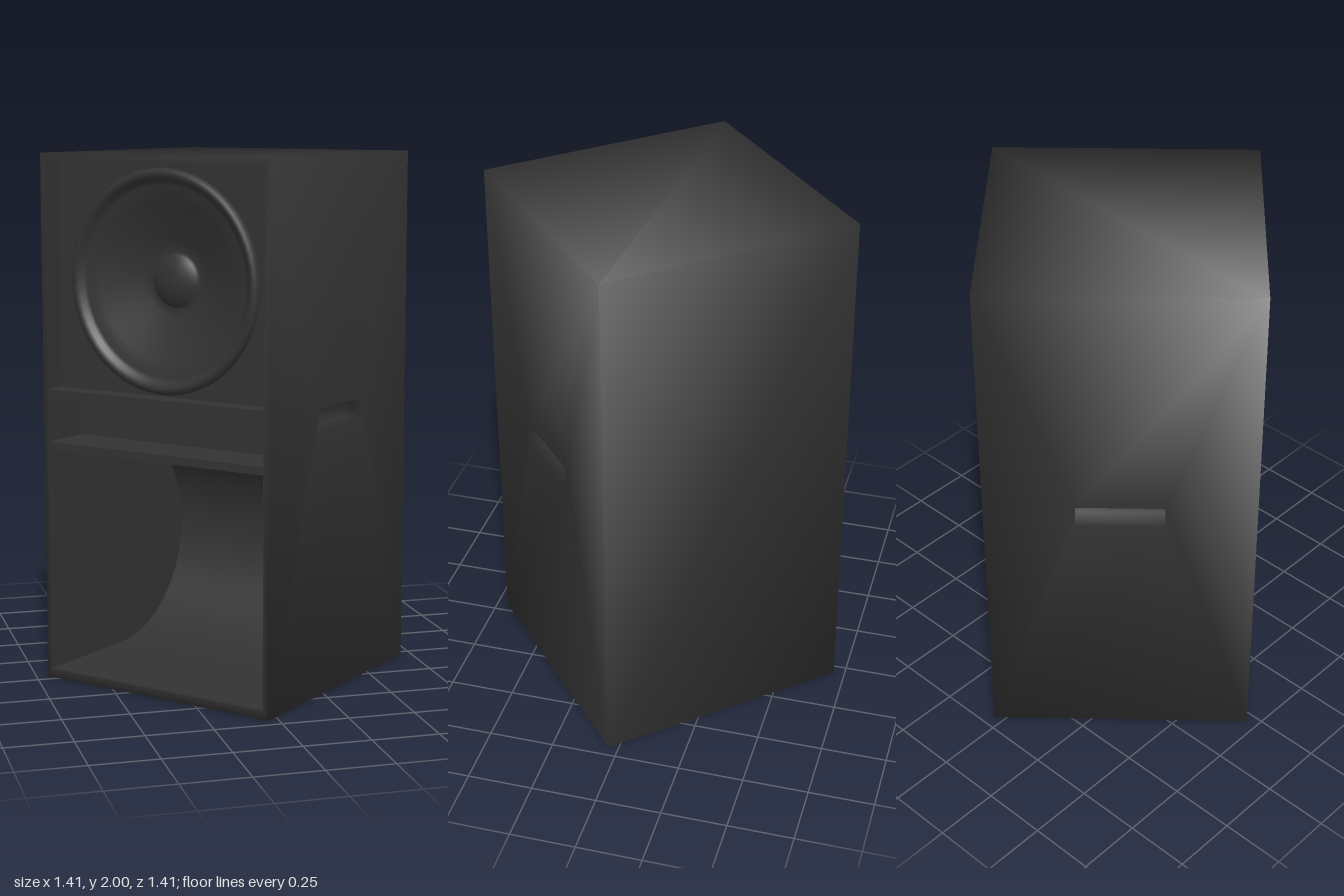
import * as THREE from 'three';
import { mergeGeometries, mergeVertices, toCreasedNormals } from 'three/addons/utils/BufferGeometryUtils.js';

const H = 0.5; // half the cabinet's width and depth

// Rectangle corners, anticlockwise
const rect = (w, y0, y1) => [[-w, y0], [w, y0], [w, y1], [-w, y1]].map(([x, y]) => new THREE.Vector2(x, y));

// Positions only, so that panels can share corners
function bare(geo) {
  const g = geo.index ? geo.toNonIndexed() : geo;
  g.deleteAttribute('normal');
  g.deleteAttribute('uv');
  return g;
}

// Upright 1 x 2 panel with rectangular openings [halfWidth, y0, y1]
function panel(openings) {
  const shape = new THREE.Shape(rect(H, 0, 2));
  for (const o of openings) shape.holes.push(new THREE.Path(rect(...o)));
  return bare(new THREE.ShapeGeometry(shape).translate(0, 0, H));
}

// Turns a solid inside out and removes its ends at the given depths
function hollow(geo, ends = [H]) {
  const p = bare(geo).attributes.position;
  const out = [];
  for (let i = 0; i < p.count; i += 3) {
    if (ends.some(e => [0, 1, 2].every(k => Math.abs(p.getZ(i + k) - e) < 1e-4))) continue;
    for (const k of [0, 2, 1]) out.push(p.getX(i + k), p.getY(i + k), p.getZ(i + k));
  }
  return new THREE.BufferGeometry().setAttribute('position', new THREE.Float32BufferAttribute(out, 3));
}

function boxRecess([w, y0, y1], depth, ends) {
  const box = new THREE.BoxGeometry(2 * w, y1 - y0, depth);
  return hollow(box.translate(0, (y0 + y1) / 2, H - depth / 2), ends);
}

export function createModel() {
  const group = new THREE.Group();
  const cabinet = new THREE.Group();
  cabinet.name = 'speakerCabinet';
  cabinet.rotation.y = -0.84;
  group.add(cabinet);

  const black = new THREE.MeshStandardMaterial({ color: 0x333333 });
  black.name = 'matteBlack';
  const add = (name, geo) => {
    const mesh = new THREE.Mesh(geo, black);
    mesh.name = name;
    cabinet.add(mesh);
    return mesh;
  };

  const upper = [0.475, 1.12, 1.97];
  const slot = [0.475, 0.92, 1.09];
  const lower = [0.475, 0.035, 0.89];
  const handle = [0.165, 1.0, 1.085];

  // Outer shell with softly blended corners and a hand hold on each side
  const parts = [
    panel([upper, slot, lower]),
    panel([]).rotateY(Math.PI),
    bare(new THREE.PlaneGeometry(1, 1).rotateX(-Math.PI / 2).translate(0, 2, 0)),
    bare(new THREE.PlaneGeometry(1, 1).rotateX(Math.PI / 2)),
  ];
  for (const a of [Math.PI / 2, -Math.PI / 2]) {
    parts.push(panel([handle]).rotateY(a), boxRecess(handle, 0.08).rotateY(a));
  }
  const shell = mergeVertices(mergeGeometries(parts));
  shell.computeVertexNormals();
  add('shell', shell);

  // Upper bay walls and baffle
  const baffleZ = 0.42, centreY = 1.54;
  add('upperBay', toCreasedNormals(boxRecess(upper, H - baffleZ, [H, baffleZ]), 0.5));
  const baffle = new THREE.Shape(rect(...upper));
  baffle.holes.push(new THREE.Path().absarc(0, centreY, 0.405, 0, Math.PI * 2));
  add('baffle', new THREE.ShapeGeometry(baffle, 48).translate(0, 0, baffleZ));

  // Woofer: rim, surround, cone and dust cap in one turned profile
  const profile = [
    [0.41, 0.415], [0.412, 0.432], [0.402, 0.444], [0.388, 0.446], [0.374, 0.438], [0.364, 0.424],
    [0.35, 0.418], [0.33, 0.416], [0.3, 0.405], [0.22, 0.375], [0.14, 0.348], [0.105, 0.34],
    [0.095, 0.35], [0.07, 0.365], [0.035, 0.374], [0, 0.376],
  ].map(([r, h]) => new THREE.Vector2(r, h));
  const woofer = add('woofer', new THREE.LatheGeometry(profile, 64).rotateX(Math.PI / 2));
  woofer.position.y = centreY;

  // Middle port
  add('port', toCreasedNormals(boxRecess(slot, 0.2), 0.5));

  // Lower horn: a deep bay with a half-round back
  const r = (lower[2] - lower[1]) / 2, cy = (lower[1] + lower[2]) / 2, cz = 0.05;
  const scoop = new THREE.Shape();
  scoop.moveTo(-H, lower[1]);
  scoop.lineTo(-cz, lower[1]);
  scoop.absarc(-cz, cy, r, -Math.PI / 2, Math.PI / 2);
  scoop.lineTo(-H, lower[2]);
  const horn = new THREE.ExtrudeGeometry(scoop, { depth: 0.95, bevelEnabled: false, curveSegments: 32 });
  horn.translate(0, 0, -0.475).rotateY(Math.PI / 2); // profile x becomes depth
  add('horn', toCreasedNormals(hollow(horn), 0.5));

  return group;
}
